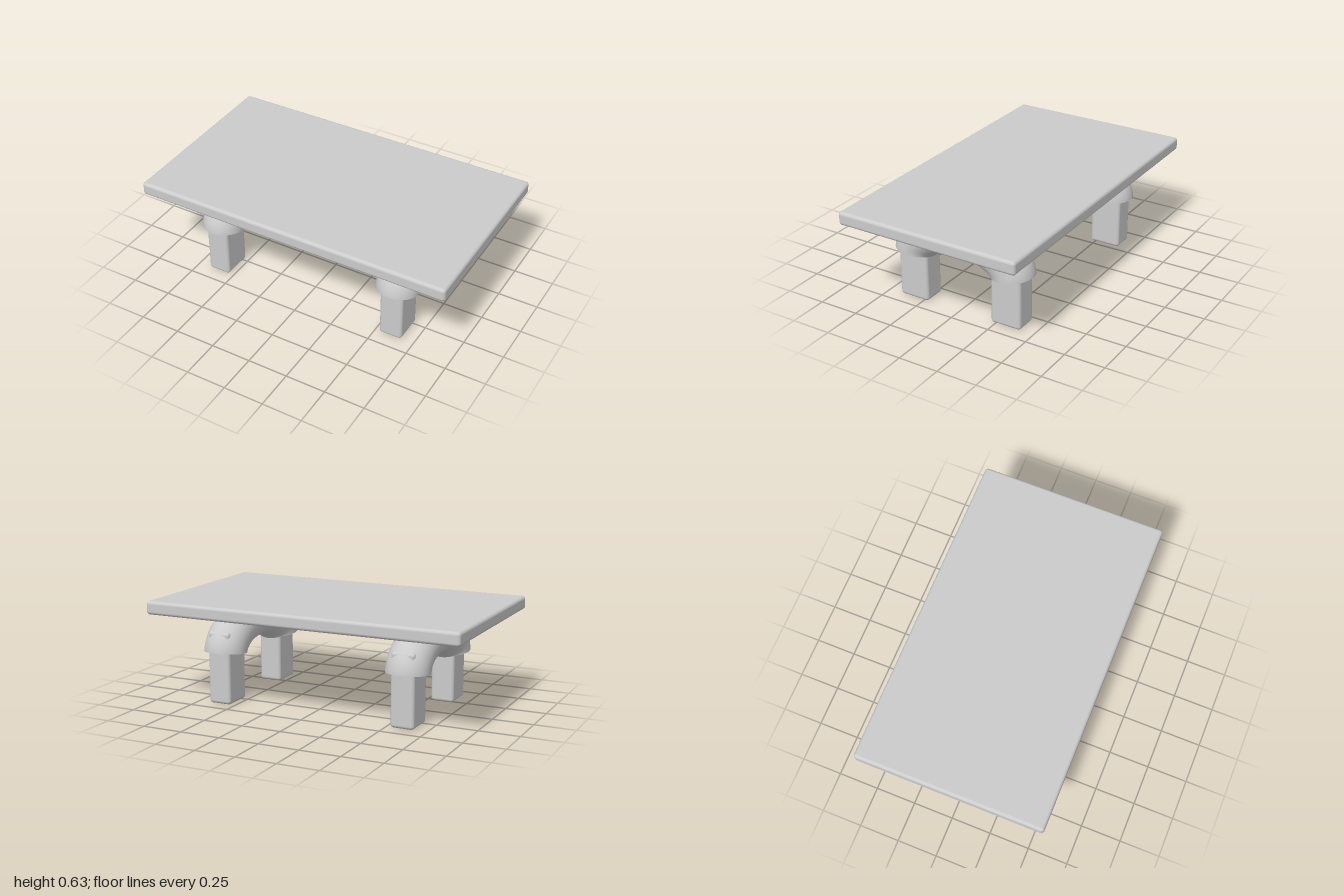
import * as THREE from 'three';
import { RoundedBoxGeometry } from 'three/addons/geometries/RoundedBoxGeometry.js';

// Half-elliptical centre line of an arch, running front to back
class ArchCurve extends THREE.Curve {
  getPoint(t, target = new THREE.Vector3()) {
    const a = THREE.MathUtils.lerp(0.058, Math.PI - 0.058, t);
    return target.set(0, 0.3 + 0.175 * Math.sin(a), 0.33 * Math.cos(a));
  }
}

export function createModel() {
  const group = new THREE.Group();
  const material = new THREE.MeshStandardMaterial({ color: 0xcccccc });
  const openMaterial = new THREE.MeshStandardMaterial({ color: 0xcccccc, side: THREE.DoubleSide });

  const add = (name, geometry, mat, x, y, z) => {
    const mesh = new THREE.Mesh(geometry, mat);
    mesh.name = name;
    mesh.position.set(x, y, z);
    group.add(mesh);
  };

  // Rounded slab top
  add('tableTop', new RoundedBoxGeometry(2, 0.083, 1.165, 4, 0.02), material, 0, 0.5925, 0);

  // One open tubular arch per side, with a block leg pushed into each end
  const archGeometry = new THREE.TubeGeometry(new ArchCurve(), 64, 0.131, 40, false);
  const legGeometry = new RoundedBoxGeometry(0.146, 0.447, 0.197, 4, 0.02);
  for (const [side, sx] of [['left', 1], ['right', -1]]) {
    add(`${side}Arch`, archGeometry, openMaterial, sx * 0.6, 0, 0);
    for (const [end, sz] of [['Front', 1], ['Back', -1]]) {
      add(`${side}${end}Leg`, legGeometry, material, sx * 0.6, 0.2235, sz * 0.3175);
    }
  }
  return group;
}
